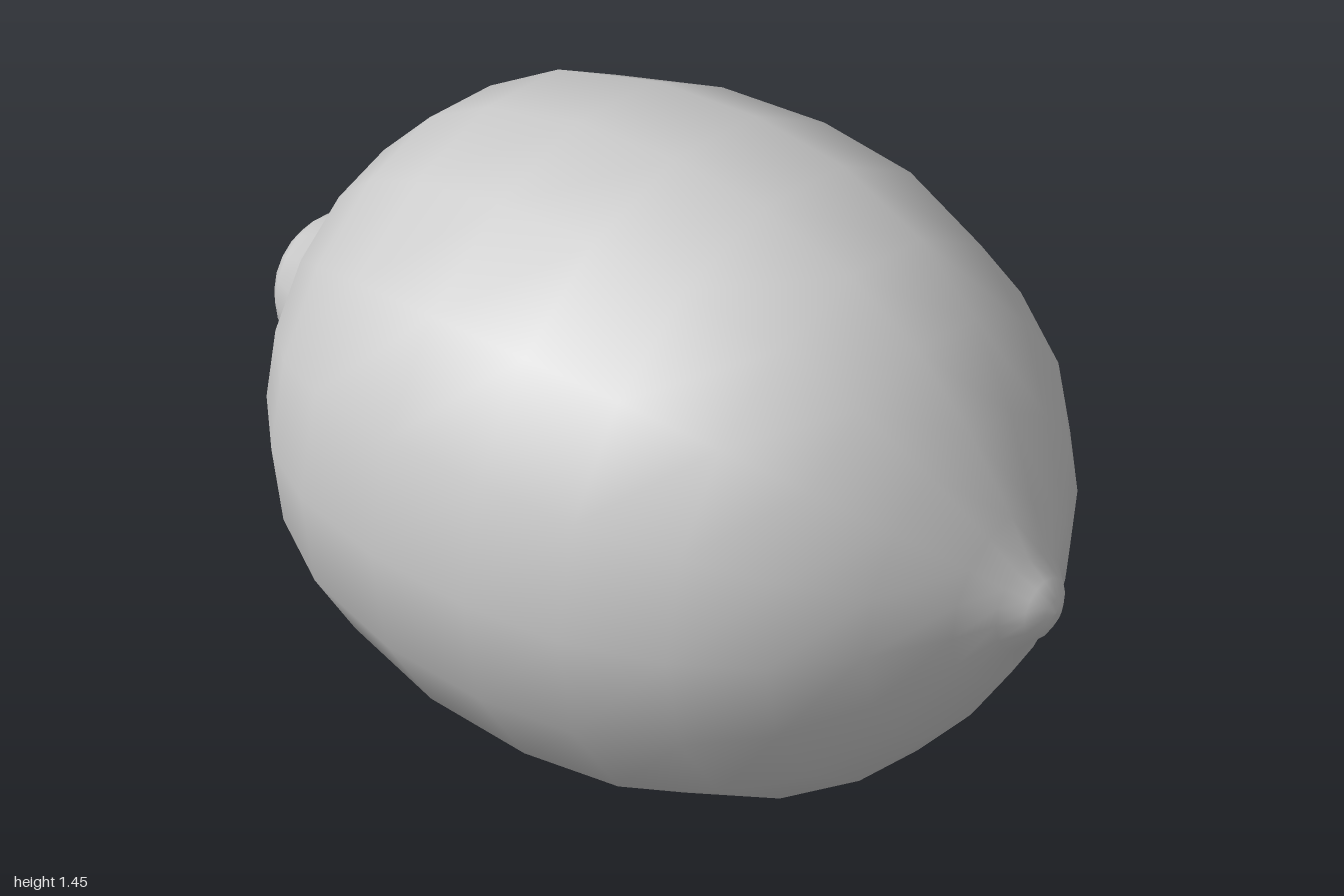
import * as THREE from 'three';

// Lemon lying on its side: [position along the long axis, radius]
const PROFILE = [
  // rounded stem nub and its neck
  [-1, 0], [-0.992, 0.055], [-0.973, 0.095], [-0.945, 0.13], [-0.88, 0.177], [-0.825, 0.25],
  // body
  [-0.76, 0.4], [-0.64, 0.54], [-0.49, 0.636], [-0.255, 0.703], [0, 0.725], [0.235, 0.706],
  [0.46, 0.63], [0.636, 0.52], [0.775, 0.364], [0.88, 0.2],
  // small pointed tip
  [0.925, 0.11], [0.968, 0.07], [0.992, 0.03], [0.998, 0],
];

export function createModel() {
  const group = new THREE.Group();
  group.name = 'lemon';

  const points = PROFILE.map(([along, radius]) => new THREE.Vector2(radius, along));
  const geometry = new THREE.LatheGeometry(points, 16);
  geometry.rotateZ(-Math.PI / 2); // long axis onto x, tip towards +x
  geometry.translate(0, 0.727, 0);

  const fruit = new THREE.Mesh(geometry, new THREE.MeshStandardMaterial({ color: 0xcccccc }));
  fruit.name = 'fruit';
  group.add(fruit);
  return group;
}
